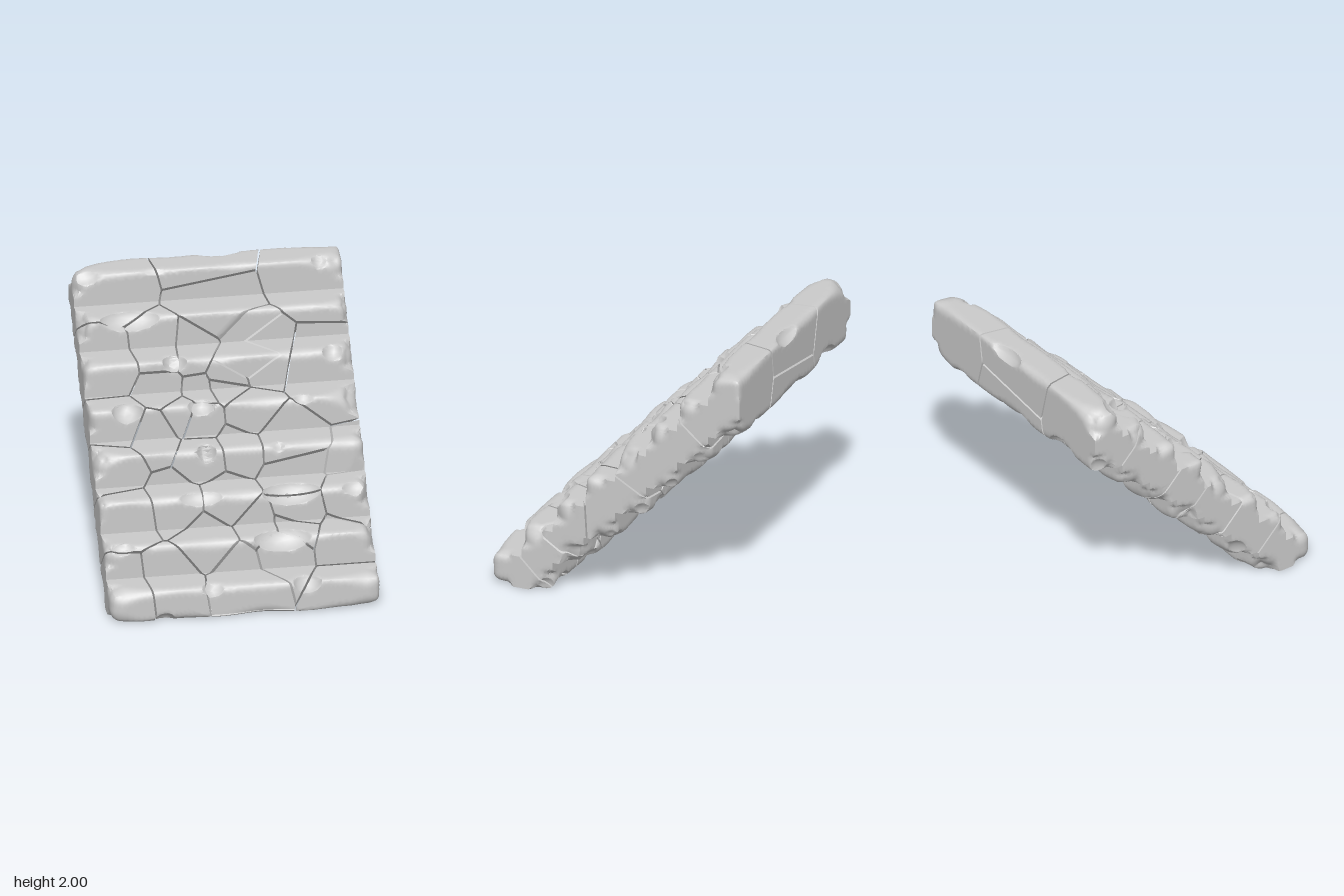
import * as THREE from 'three';
import { toCreasedNormals } from 'three/addons/utils/BufferGeometryUtils.js';

const STEPS = 8, S = 0.25, GAP = 0.007, EDGE = 0.042;
const V = (x, y, z) => new THREE.Vector3(x, y, z);

// Stone centres, [x, y] at mid thickness, or [x, y, z].
const CENTRES = [
  [-0.75, 1.8], [-0.02, 1.98, -0.97], [0.03, 1.66], [0.78, 1.86, -0.8],
  [-0.8, 1.36], [-0.42, 1.4], [-0.17, 1.38], [0.05, 1.28], [0.32, 1.34], [0.2, 1.5, -0.3], [0.74, 1.28, -0.3],
  [-0.78, 1.05], [-0.42, 1.2], [-0.3, 1.08], [-0.15, 1.18], [-0.18, 1.04], [0.03, 1.2], [0.18, 1.07],
  [-0.86, 0.8], [-0.52, 0.96], [-0.19, 0.85], [0.08, 0.88], [0.41, 0.89],
  [-0.8, 0.55], [-0.43, 0.6], [-0.04, 0.6], [0.45, 0.68], [0.45, 0.5], [0.9, 0.6, 0.42], [0.85, 0.62, 0.08],
  [-0.2, 0.38], [0.17, 0.42], [0.3, 0.29], [0.42, 0.43], [0.78, 0.34],
  [-0.87, 0.1], [-0.52, 0.14], [0, 0.22, 0.85], [0, 0.03, 0.75], [0.78, 0.08],
].map(([x, y, z = 0.93 - y]) => V(x, y, z));

// Worn hollows on the front edges: x, step, half width, radius.
const HOLLOWS = [
  [-0.95, 7, 0.18, 0.13], [-0.4, 7, 0.14, 0.08], [0.83, 7, 0.08, 0.12],
  [-0.62, 6, 0.25, 0.15], [-0.33, 5, 0.1, 0.14], [0.85, 5, 0.1, 0.13],
  [-0.72, 4, 0.13, 0.15], [-0.17, 4, 0.12, 0.13], [0.58, 4, 0.1, 0.1],
  [-0.17, 3, 0.08, 0.15], [0.37, 3, 0.06, 0.1], [-0.95, 3, 0.08, 0.12],
  [-0.25, 2, 0.2, 0.12], [0.42, 2, 0.25, 0.16], [0.9, 2, 0.13, 0.12],
  [0.32, 1, 0.24, 0.16], [-0.88, 1, 0.13, 0.11],
  [-0.24, 0, 0.1, 0.12], [0.46, 0, 0.12, 0.14], [-0.85, 0, 0.12, 0.08],
].map(([x, i, w, r]) => ({ c: V(x, S * (i + 1) + 0.035, 1 - S * i + 0.035), w, r }));

let seed = 7;
const rnd = () => (seed = (seed * 16807) % 2147483647) / 2147483647;

// Hollows along the underside edges, the ends, and the lowest front edge.
for (let i = 0; i < 7; i++) {
  for (let k = 0; k < 4; k++)
    HOLLOWS.push({
      c: V(-0.85 + 0.5 * k + 0.3 * rnd(), S * i - 0.035, 0.5 - S * i - 0.035),
      w: 0.08 + 0.12 * rnd(), r: 0.09 + 0.07 * rnd(),
    });
  for (const side of [-1, 1])
    HOLLOWS.push({ c: V(side * 1.03, S * i - 0.02 + 0.06 * rnd(), 0.5 - S * i), w: 0.1, r: 0.1 + 0.06 * rnd() });
}
HOLLOWS.push({ c: V(-0.6, -0.03, 1.03), w: 0.1, r: 0.1 }, { c: V(0.1, 2.03, -1.03), w: 0.2, r: 0.11 });

// Push a point inwards: rounded edges of varying radius, then the hollows.
const fade = t => 0.3 * THREE.MathUtils.smoothstep(t, 0.14, 0.25);
function wear(p, i, front) {
  const top = S * (i + 1) - p.y, low = p.y - S * i;
  const fr = 1 - S * i - p.z, back = p.z - (0.5 - S * i);
  let dTop = 9, dLow = 9, dFront = 9, dBack = 9;
  if (front) {
    const rear = i === STEPS - 1 ? p.z + 1 : 9, foot = i === 0 ? p.y : 9;
    dTop = top + fade(Math.min(fr, rear));
    dFront = fr + fade(Math.min(top, foot));
    dLow = foot + fade(fr);
    dBack = rear + fade(top);
  } else {
    dLow = low + fade(back);
    dBack = back + (i === 6 ? 0 : fade(low));
    if (i === 6) dBack = back + fade(low);
  }
  const n = Math.sin(5.1 * p.x + 4 * p.y + 1) * Math.sin(6.3 * p.z - 3.2 * p.x + 2) + 0.5 * Math.sin(11 * p.x - 7 * p.y);
  const ends = THREE.MathUtils.smoothstep(Math.abs(p.x), 0.75, 1);
  const r = Math.max(0.025, 0.04 + 0.025 * n + ends * (0.06 + 0.03 * n) + (front ? 0 : 0.03));
  const bite = d => Math.max(0, r - d);
  const e = V(
    Math.sign(p.x) * bite(1 - Math.abs(p.x)),
    bite(dTop) - bite(dLow), bite(dFront) - bite(dBack));
  const len = e.length();
  const q = p.clone();
  if (len > r) q.addScaledVector(e, r / len - 1);
  for (const { c, w, r: rad } of HOLLOWS) {
    const d = V((q.x - c.x) / w, (q.y - c.y) / rad, (q.z - c.z) / rad);
    const l = d.length();
    if (l < 1 && l > 1e-4) {
      d.divideScalar(l);
      q.set(c.x + d.x * w, c.y + d.y * rad, c.z + d.z * rad);
    }
  }
  return q;
}

// Six faces of a block; faces buried in the neighbouring block are marked hidden.
function block(min, max, shown) {
  const faces = [];
  for (let k = 0; k < 3; k++) for (const s of [1, -1]) {
    const a = (k + 1) % 3, b = (k + 2) % 3;
    const pts = [[0, 0], [1, 0], [1, 1], [0, 1]].map(([u, v]) => {
      const c = [];
      c[k] = s > 0 ? max[k] : min[k];
      c[a] = u ? max[a] : min[a];
      c[b] = v ? max[b] : min[b];
      return V(...c);
    });
    if (s < 0) pts.reverse();
    faces.push({ pts, hidden: !shown.includes('xyz'[k] + (s > 0 ? '+' : '-')) });
  }
  return faces;
}

// Cut a convex solid, keep the side n.p <= d and close the cut.
function cut(faces, n, d) {
  const out = [], rim = [];
  for (const { pts, hidden } of faces) {
    const kept = [];
    pts.forEach((p, j) => {
      const q = pts[(j + 1) % pts.length], dp = n.dot(p) - d, dq = n.dot(q) - d;
      if (dp <= 0) kept.push(p);
      if (dp <= 0 !== dq <= 0) {
        const m = p.clone().lerp(q, dp / (dp - dq));
        kept.push(m);
        rim.push(m);
      }
    });
    if (kept.length > 2) out.push({ pts: kept, hidden });
  }
  if (rim.length > 2) {
    const c = centre(rim);
    const a = V(n.y, n.z, n.x).cross(n).normalize(), b = n.clone().cross(a);
    const angle = p => Math.atan2(p.clone().sub(c).dot(b), p.clone().sub(c).dot(a));
    out.push({ pts: rim.sort((p, q) => angle(p) - angle(q)), hidden: false });
  }
  return out;
}
const centre = pts => pts.reduce((s, p) => s.add(p), V(0, 0, 0)).divideScalar(pts.length);

// Split the longest edge until the triangle is small enough to bend.
function split(a, b, c, emit) {
  const l = [a.distanceTo(b), b.distanceTo(c), c.distanceTo(a)];
  const m = Math.max(...l);
  if (m <= EDGE) return emit(a, b, c);
  if (l[1] === m) [a, b, c] = [b, c, a];
  else if (l[2] === m) [a, b, c] = [c, a, b];
  const h = a.clone().add(b).multiplyScalar(0.5);
  split(a, h, c, emit);
  split(h, b, c, emit);
}

// Two blocks per step: the front tread half and the rear half under the next step.
const BLOCKS = [];
for (let i = 0; i < STEPS; i++) for (const front of [true, false]) {
  if (!front && i === STEPS - 1) continue;
  const z = (front ? 0.75 : 0.5) - S * i;
  const shown = ['x+', 'x-', ...(front ? ['y+', 'z+'] : ['y-', 'z-'])];
  if (front && i === 0) shown.push('y-');
  if (front && i === STEPS - 1) shown.push('z-');
  BLOCKS.push({ i, front, faces: block([-1, S * i, z], [1, S * (i + 1), z + S], shown) });
}

export function createModel() {
  const stairs = new THREE.Group();
  stairs.name = 'crackedStoneStairs';
  const material = new THREE.MeshStandardMaterial({ color: 0xcccccc });

  // One mesh per stone, parted from its neighbours by narrow cracks.
  CENTRES.forEach((s, index) => {
    const position = [];
    for (const { i, front, faces } of BLOCKS) {
      let solid = faces;
      for (const t of CENTRES) {
        if (t === s || !solid.length) continue;
        const n = t.clone().sub(s).normalize();
        solid = cut(solid, n, n.dot(s.clone().add(t).multiplyScalar(0.5)) - GAP);
      }
      for (const { pts, hidden } of solid) {
        if (hidden) continue;
        const c = centre(pts);
        pts.forEach((p, j) => {
          const q = pts[(j + 1) % pts.length];
          if (p.distanceTo(q) < 1e-5) return;
          split(c, p, q, (...tri) => tri.forEach(v => position.push(...wear(v, i, front).toArray())));
        });
      }
    }
    if (!position.length) return;
    const geometry = new THREE.BufferGeometry();
    geometry.setAttribute('position', new THREE.Float32BufferAttribute(position, 3));
    const stone = new THREE.Mesh(toCreasedNormals(geometry, 0.7), material);
    stone.name = `stone${index + 1}`;
    stairs.add(stone);
  });
  return stairs;
}
